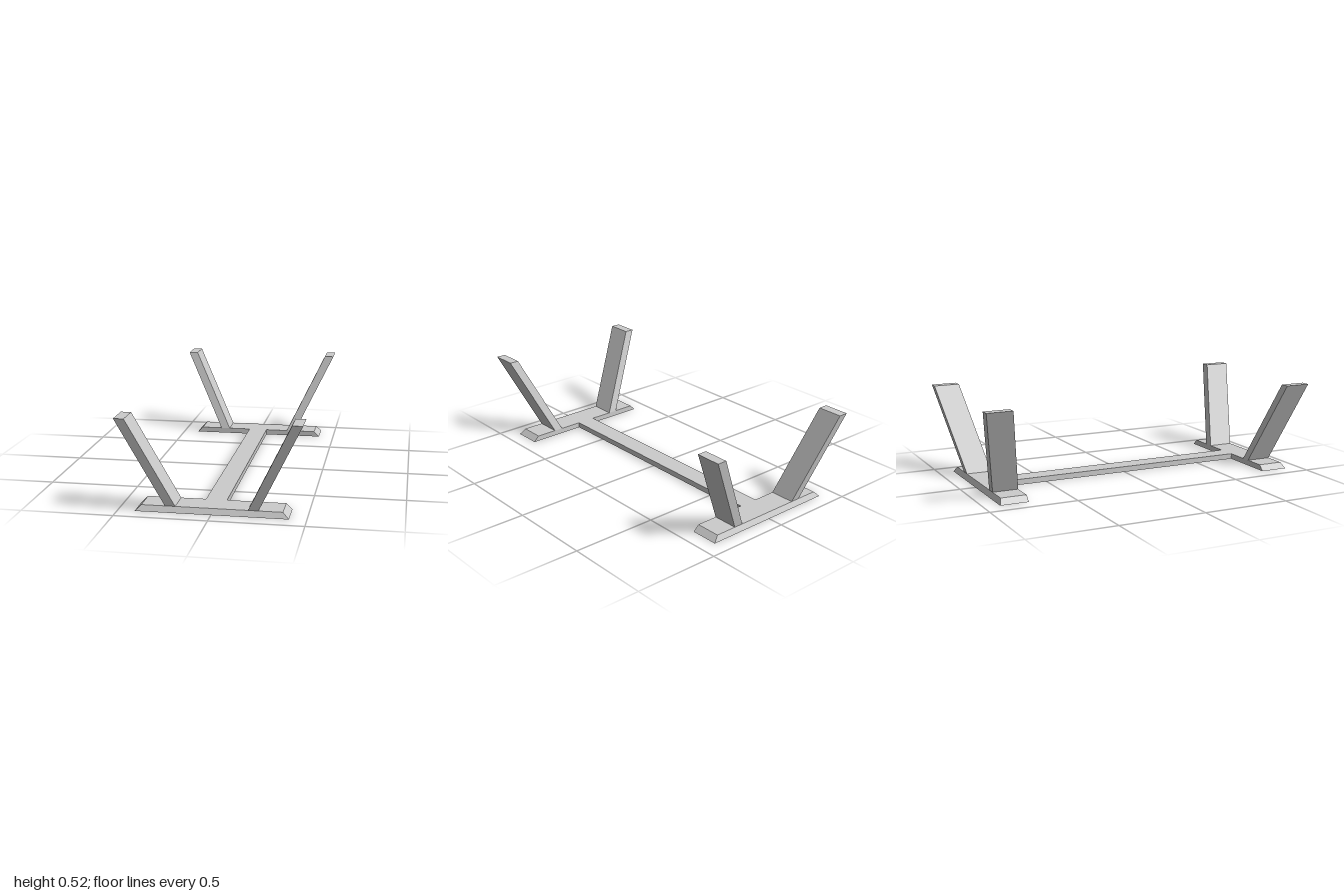
import * as THREE from 'three';

const material = new THREE.MeshStandardMaterial({ color: 0xcccccc, flatShading: true });

// Six-sided block between a bottom and a top rectangle, each [x0, x1, z0, z1]
function block(name, y0, y1, bottom, top) {
  const geometry = new THREE.BoxGeometry(1, 1, 1);
  const p = geometry.attributes.position;
  for (let i = 0; i < p.count; i++) {
    const rect = p.getY(i) > 0 ? top : bottom;
    p.setXYZ(i,
      rect[p.getX(i) > 0 ? 1 : 0],
      p.getY(i) > 0 ? y1 : y0,
      rect[p.getZ(i) > 0 ? 3 : 2]);
  }
  geometry.computeVertexNormals();
  const mesh = new THREE.Mesh(geometry, material);
  mesh.name = name;
  return mesh;
}

// Rectangle moved to the chosen side (sx) and end (sz)
function mirrored([x0, x1, z0, z1], sx, sz) {
  return [
    ...(sx > 0 ? [x0, x1] : [-x1, -x0]),
    ...(sz > 0 ? [z0, z1] : [-z1, -z0]),
  ];
}

export function createModel() {
  const model = new THREE.Group();
  model.name = 'cradleStand';
  const baseTop = 0.032, postTop = 0.52;

  for (const sz of [1, -1]) {
    const end = sz > 0 ? 'front' : 'back';

    // Half of the central spine, meeting the other half at the middle
    const half = mirrored([-0.057, 0.057, 0, 0.747], 1, sz);
    model.add(block(end + 'Spine', 0, baseTop, half, half));

    // Cross foot, bevelled on its outer edge and both ends
    model.add(block(end + 'Foot', 0, baseTop,
      mirrored([-0.408, 0.408, 0.747, 0.91], 1, sz),
      mirrored([-0.375, 0.375, 0.747, 0.895], 1, sz)));

    // Posts splayed outwards and towards the end
    for (const sx of [1, -1]) {
      model.add(block(end + (sx > 0 ? 'Left' : 'Right') + 'Post', baseTop, postTop,
        mirrored([0.193, 0.248, 0.747, 0.895], sx, sz),
        mirrored([0.429, 0.484, 0.852, 1], sx, sz)));
    }
  }
  return model;
}
